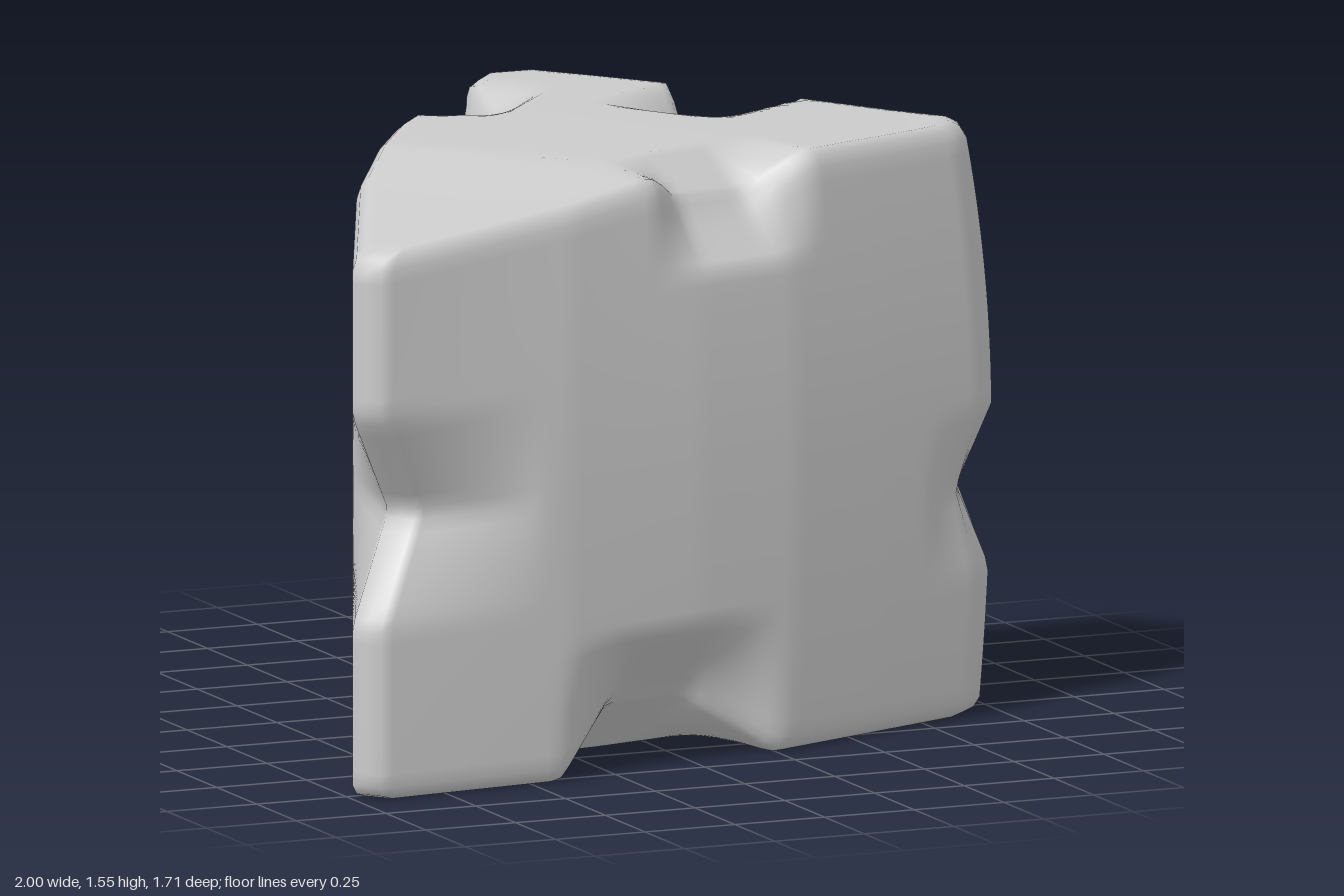
import * as THREE from 'three';

const V = (x, y, z) => new THREE.Vector3(x, y, z);
const clamp = THREE.MathUtils.clamp;

// Plan of the wedge, counter-clockwise seen from above: left tip, right corner, back corner
const PLAN = [
  [-1, 0.79], [-0.95, 0.855], [-0.4, 0.81], [0, 0.73], [0.3, 0.65], [0.6, 0.53],
  [0.92, 0.4], [0.98, 0.34], [1, 0.28], [0.2, -0.86], [0.07, -0.86], [-0.48, -0.18], [-0.77, 0.27],
];
const CENTRE = [0.03, 0.12];

// Chips in the edges: point on the edge, edge direction, inward push,
// half length, flat half length, depth and reach across the faces
const CHIPS = [
  // upright corners
  { at: V(-0.98, 0.72, 0.82), along: V(0, 1, 0), push: V(0.8, 0, -0.6), half: 0.27, flat: 0, depth: 0.2, reach: 0.5 },
  { at: V(0.99, 0.59, 0.32), along: V(0, 1, 0), push: V(-1, 0, -0.2), half: 0.21, flat: 0, depth: 0.1, reach: 0.28 },
  { at: V(0.13, 1.13, -0.86), along: V(0, 1, 0), push: V(0, 0, 1), half: 0.36, flat: 0, depth: 0.11, reach: 0.3 },
  // top edges
  { at: V(0.14, 1.54, 0.68), along: V(0.94, 0, -0.34), push: V(-0.2, -0.7, -0.6), half: 0.26, flat: 0.11, depth: 0.16, reach: 0.27 },
  { at: V(-0.22, 1.54, -0.48), along: V(-0.62, 0, 0.78), push: V(0.6, -0.65, 0.48), half: 0.25, flat: 0.1, depth: 0.14, reach: 0.26 },
  { at: V(0.56, 1.54, -0.28), along: V(0.57, 0, 0.82), push: V(-0.5, -0.8, 0.35), half: 0.2, flat: 0, depth: 0.32, reach: 0.42 },
  // bottom edges
  { at: V(-0.08, 0, 0.74), along: V(0.97, 0, -0.22), push: V(0, 0.76, -0.65), half: 0.34, flat: 0.12, depth: 0.23, reach: 0.36 },
  { at: V(-0.33, 0, -0.36), along: V(-0.62, 0, 0.78), push: V(0.5, 0.75, 0.4), half: 0.24, flat: 0.1, depth: 0.14, reach: 0.26 },
];
CHIPS.forEach((c) => { c.along.normalize(); c.push.normalize(); });

function outline() {
  const pts = [];
  PLAN.forEach(([x, z], i) => {
    const [x2, z2] = PLAN[(i + 1) % PLAN.length];
    const n = Math.max(1, Math.round(Math.hypot(x2 - x, z2 - z) / 0.035));
    for (let k = 0; k < n; k++) pts.push([x + (x2 - x) * k / n, z + (z2 - z) * k / n]);
  });
  return pts;
}

// Rings from bottom centre, up the side, to top centre: [plan scale, height 0..1]
function rings() {
  const list = [], cap = 22, side = 40;
  for (let i = 1; i <= cap; i++) list.push([0.955 * i / cap, 0]);
  list.push([0.985, 0.008]);
  for (let i = 0; i <= side; i++) list.push([1, 0.025 + 0.945 * i / side]);
  list.push([0.985, 0.99]);
  for (let i = cap; i >= 1; i--) list.push([0.955 * i / cap, 1]);
  return list;
}

// Top surface dips toward the left tip
function topHeight(x, z) {
  const q = -0.77 * x + 0.64 * z;
  return 1.535 - 0.125 * Math.max(0, (q - 0.48) / 0.8) + 0.02 * Math.max(0, 1 - Math.hypot(x, z) / 0.8);
}

function place(px, pz, k, t) {
  // right and back corners lean in slightly above and below mid height
  const lean = 1 - (t > 0.5 ? 0.3 : 0.14) * (t - 0.5) ** 2 * clamp(px + 1, 0, 1);
  const x = CENTRE[0] + (px - CENTRE[0]) * k * lean;
  const z = CENTRE[1] + (pz - CENTRE[1]) * k * lean;
  const p = V(x, t * topHeight(x, z), z);
  const move = V(0, 0, 0);
  for (const c of CHIPS) {
    const d = p.clone().sub(c.at);
    const s = d.dot(c.along);
    const r = d.addScaledVector(c.along, -s).length();
    const lengthwise = clamp((c.half - Math.abs(s)) / (c.half - c.flat), 0, 1);
    const across = clamp(1 - r / c.reach, 0, 1);
    move.addScaledVector(c.push, c.depth * lengthwise * across);
  }
  return p.add(move);
}

export function createModel() {
  const plan = outline(), layers = rings(), n = plan.length;
  const pos = [], index = [];
  for (const [k, t] of layers) {
    for (const [x, z] of plan) pos.push(...place(x, z, k, t).toArray());
  }
  const bottom = pos.length / 3, top = bottom + 1;
  pos.push(...place(...CENTRE, 0, 0).toArray(), ...place(...CENTRE, 0, 1).toArray());

  const last = (layers.length - 1) * n;
  for (let i = 0; i < n; i++) {
    const j = (i + 1) % n;
    for (let l = 0; l < layers.length - 1; l++) {
      const a = l * n + i, b = l * n + j, c = a + n, d = b + n;
      index.push(a, b, d, a, d, c);
    }
    index.push(bottom, j, i, top, last + i, last + j);
  }
  const geo = new THREE.BufferGeometry();
  geo.setAttribute('position', new THREE.Float32BufferAttribute(pos, 3));
  geo.setIndex(index);
  geo.computeVertexNormals();

  const stone = new THREE.Mesh(geo, new THREE.MeshStandardMaterial({ color: 0xcccccc }));
  stone.name = 'chippedStoneWedge';
  const group = new THREE.Group();
  group.name = 'stone';
  group.add(stone);
  return group;
}
